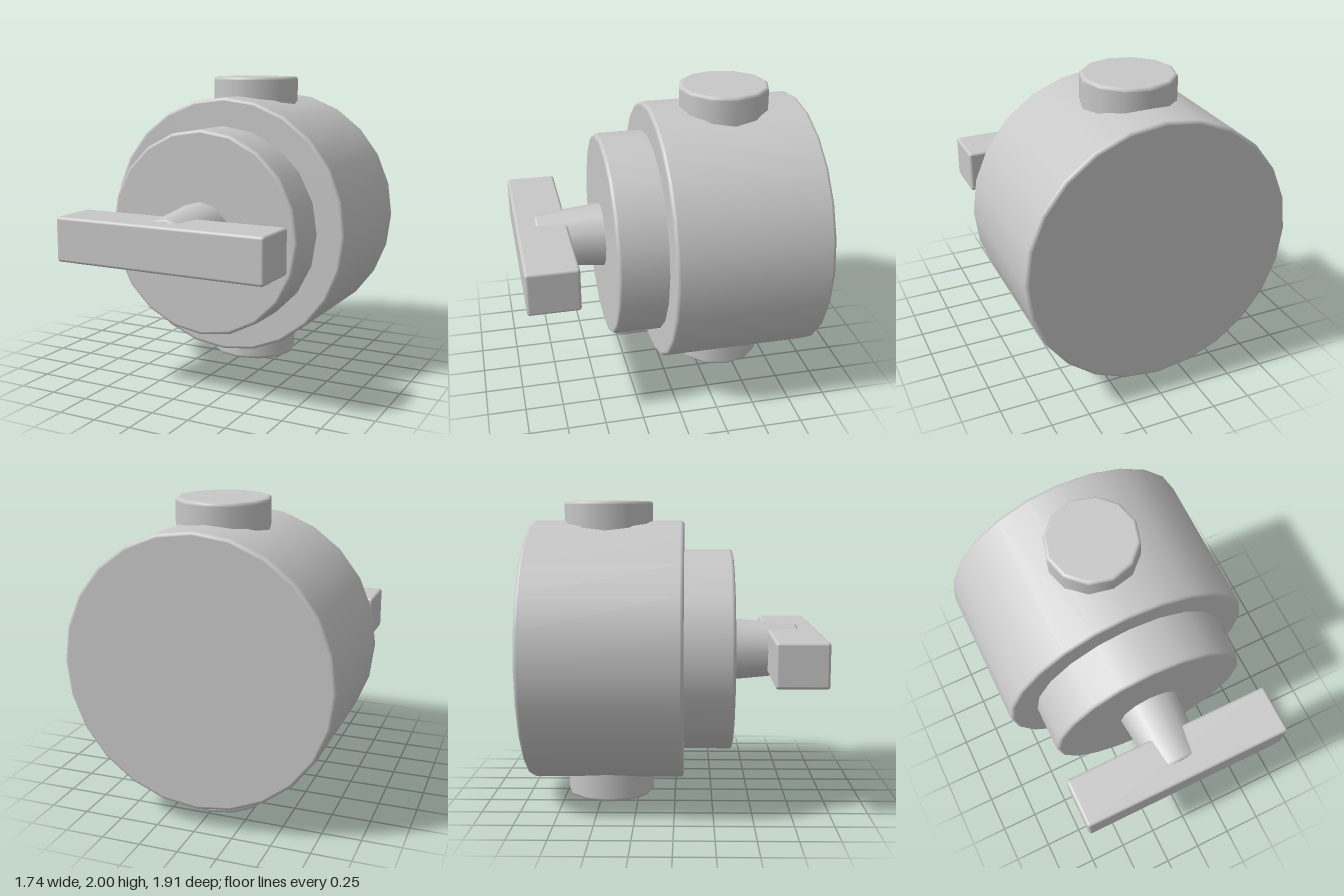
import * as THREE from 'three';
import { RoundedBoxGeometry } from 'three/addons/geometries/RoundedBoxGeometry.js';

const BEVEL = 0.02;

// Solid of revolution along +y with rounded rims; extra points keep faces flat.
function bevelledCylinder(r0, r1, y0, y1, sides) {
  const pts = [new THREE.Vector2(0, y0)];
  const eps = 0.002;
  const rim = (r, y, dir) => {
    const arc = [[r - BEVEL - eps, y]];
    for (let i = 0; i <= 3; i++) {
      const a = (i / 3) * Math.PI / 2;
      arc.push([r - BEVEL + BEVEL * Math.sin(a), y - dir * BEVEL * (1 - Math.cos(a))]);
    }
    arc.push([r, y - dir * (BEVEL + eps)]);
    return arc.map(([x, h]) => new THREE.Vector2(x, h));
  };
  pts.push(...rim(r0, y0, -1), ...rim(r1, y1, 1).reverse(), new THREE.Vector2(0, y1));
  return new THREE.LatheGeometry(pts, sides);
}

export function createModel() {
  const model = new THREE.Group();
  model.name = 'valve';
  const grey = new THREE.MeshStandardMaterial({ color: 0xc8c8c8 });
  grey.name = 'grey';

  const add = (name, geometry, x, y, z) => {
    const mesh = new THREE.Mesh(geometry, grey);
    mesh.name = name;
    mesh.position.set(x, y, z);
    model.add(mesh);
  };
  // Cylinder lying along z, centred at y = 1
  const addAlongZ = (name, r0, r1, z0, z1, sides) =>
    add(name, bevelledCylinder(r0, r1, z0, z1, sides).rotateX(Math.PI / 2), 0, 1, 0);

  addAlongZ('body', 0.87, 0.87, -0.955, 0.06, 24);
  addAlongZ('frontPlate', 0.68, 0.68, 0.0, 0.383, 20);
  addAlongZ('stem', 0.215, 0.172, 0.34, 0.83, 12);

  // Vertical pipe ends showing above and below the body
  add('pipe', bevelledCylinder(0.297, 0.297, 0, 2, 12), 0, 0, -0.447);

  // Crossbar handle
  add('handle', new RoundedBoxGeometry(1.44, 0.29, 0.335, 3, BEVEL), 0, 1.003, 0.7875);

  return model;
}
